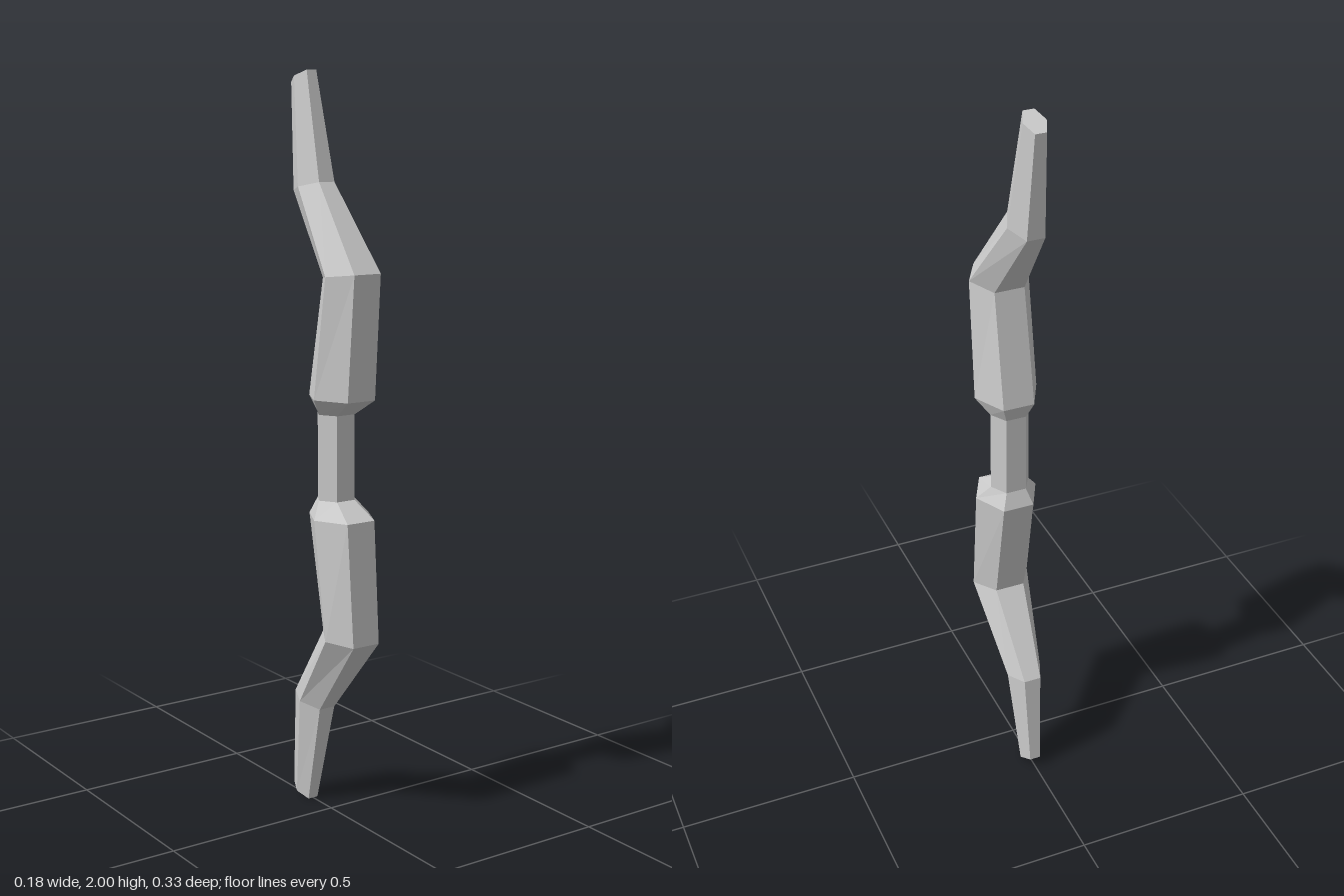
import * as THREE from 'three';

// Upper half, grip to tip: [front y, front z, back y, back z, flat half width, full half width]
const GRIP = [1.115, 0.068, 1.115, -0.022, 0.028, 0.055];
const LIMB = [
  GRIP,
  [1.16, 0.138, 1.16, -0.04, 0.043, 0.088],
  [1.49, 0.163, 1.474, 0.022, 0.041, 0.082],
  [1.715, -0.02, 1.69, -0.14, 0.024, 0.05],
  [2.0, -0.09, 1.97, -0.163, 0.015, 0.03],
];

const mirrored = ([fy, fz, by, bz, h, w]) => [2 - fy, fz, 2 - by, bz, h, w];

// Six-sided cross-section, flat at the front and back
function ring([fy, fz, by, bz, h, w]) {
  const my = (fy + by) / 2, mz = (fz + bz) / 2;
  return [[-h, fy, fz], [h, fy, fz], [w, my, mz], [h, by, bz], [-h, by, bz], [-w, my, mz]];
}

// Skin cross-sections listed from bottom to top
function loft(name, sections, material, capBottom, capTop) {
  const rings = sections.map(ring);
  const pos = [];
  const tri = (a, b, c) => pos.push(...a, ...b, ...c);
  for (let r = 0; r < rings.length - 1; r++) {
    const lo = rings[r], hi = rings[r + 1];
    for (let i = 0; i < 6; i++) {
      const j = (i + 1) % 6;
      tri(lo[i], lo[j], hi[j]);
      tri(lo[i], hi[j], hi[i]);
    }
  }
  const first = rings[0], last = rings[rings.length - 1];
  for (let i = 1; i < 5; i++) {
    if (capBottom) tri(first[0], first[i + 1], first[i]);
    if (capTop) tri(last[0], last[i], last[i + 1]);
  }
  const geometry = new THREE.BufferGeometry();
  geometry.setAttribute('position', new THREE.Float32BufferAttribute(pos, 3));
  geometry.computeVertexNormals();
  const mesh = new THREE.Mesh(geometry, material);
  mesh.name = name;
  return mesh;
}

export function createModel() {
  const group = new THREE.Group();
  group.name = 'bow';
  const material = new THREE.MeshStandardMaterial({ color: 0xcccccc, flatShading: true });
  group.add(
    loft('lowerLimb', LIMB.map(mirrored).reverse(), material, true, false),
    loft('grip', [mirrored(GRIP), GRIP], material, false, false),
    loft('upperLimb', LIMB, material, false, true),
  );
  return group;
}
